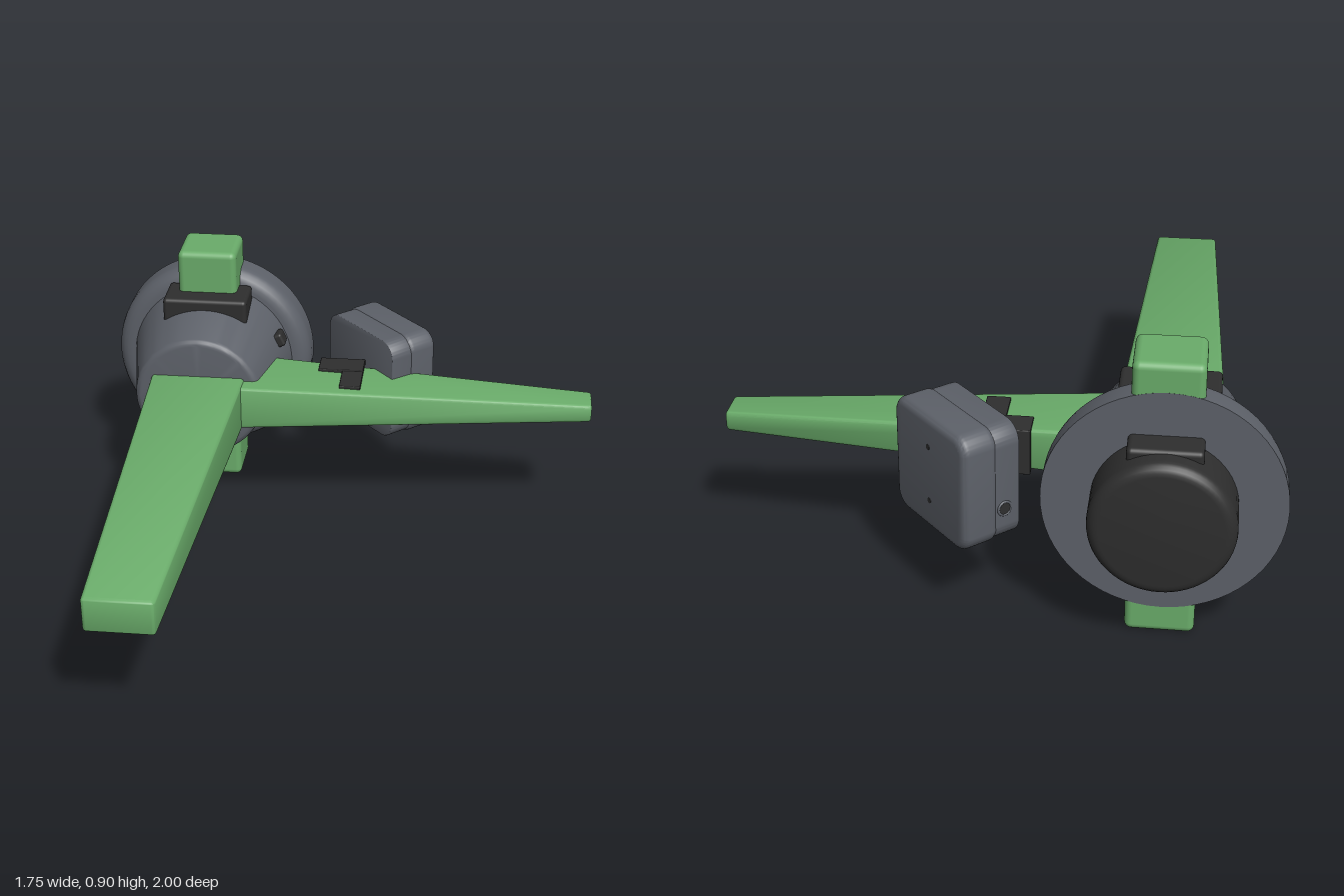
import * as THREE from 'three';
import { toCreasedNormals } from 'three/addons/utils/BufferGeometryUtils.js';
import { RoundedBoxGeometry } from 'three/addons/geometries/RoundedBoxGeometry.js';

const CX = -0.515, CY = 0.452; // hub axis, running along z

function flat(name, color) {
  const m = new THREE.MeshStandardMaterial({ color });
  m.name = name;
  return m;
}

export function createModel() {
  const root = new THREE.Group();
  root.name = 'mountedArms';
  const green = flat('green', 0x6aac6a);
  const grey = flat('slateGrey', 0x5d6169);
  const black = flat('black', 0x2e2e2e);

  function add(name, geo, mat, x = 0, y = 0, z = 0, parent = root) {
    const mesh = new THREE.Mesh(geo, mat);
    mesh.name = name;
    mesh.position.set(x, y, z);
    parent.add(mesh);
    return mesh;
  }

  // Rounded block given by its limits on each axis
  function block(name, mat, [x0, x1], [y0, y1], [z0, z1], r) {
    return add(name, new RoundedBoxGeometry(x1 - x0, y1 - y0, z1 - z0, 3, r), mat,
      (x0 + x1) / 2, (y0 + y1) / 2, (z0 + z1) / 2);
  }

  // Turned part around the hub axis; profile is [radius, z] from back to front
  function turned(name, mat, profile) {
    const geo = new THREE.LatheGeometry(profile.map(p => new THREE.Vector2(...p)), 64);
    geo.rotateX(Math.PI / 2);
    return add(name, toCreasedNormals(geo, 0.6), mat, CX, CY, 0);
  }

  // Quarter-round corner points, centred on (r, z)
  function corner(r, z, radius, from, to) {
    return Array.from({ length: 6 }, (_, i) => {
      const a = from + (to - from) * i / 5;
      return [r + radius * Math.cos(a), z + radius * Math.sin(a)];
    });
  }

  // Hub: flange, conical body and rear cap
  turned('flange', grey, [
    [0, -0.8405], [0.36, -0.8405], ...corner(0.305, -0.775, 0.055, 0, Math.PI / 2), [0, -0.72]]);
  turned('conicalBody', grey, [
    [0, -0.74], [0.297, -0.74], ...corner(0.202, -0.405, 0.026, 0.2, Math.PI / 2), [0, -0.379]]);
  turned('rearCap', black, [
    [0, -1], ...corner(0.18, -0.965, 0.035, -Math.PI / 2, 0), [0.215, -0.74], [0, -0.74]]);
  block('rearCapTab', black, [-0.625, -0.405], [0.58, 0.675], [-0.93, -0.8], 0.015);

  // Bar through the hub, with the dark pad above the body
  block('crossBar', green, [-0.62, -0.41], [0, 0.9], [-0.84, -0.635], 0.022);
  block('topPad', black, [-0.665, -0.365], [0.64, 0.75], [-0.72, -0.56], 0.014);
  for (const s of [-1, 1]) {
    const clip = add('sideClip', new RoundedBoxGeometry(0.05, 0.05, 0.06, 2, 0.01), black,
      CX + 0.25, CY + s * 0.115, -0.66);
    clip.rotation.z = s * 0.43;
  }

  // Tapered arm along +z, starting at the origin
  function arm(name, length, [w0, h0], [w1, h1]) {
    const geo = new RoundedBoxGeometry(1, 1, 1, 3, 0.08);
    const p = geo.attributes.position;
    const v = new THREE.Vector3();
    const edge = 0.012;
    // Keep the edge rounding the same size on every axis
    const fit = (c, size) => {
      const a = Math.abs(c);
      const core = 0.42;
      return Math.sign(c) * (a <= core ? a / core * (size / 2 - edge)
        : size / 2 - edge + (a - core) / 0.08 * edge);
    };
    for (let i = 0; i < p.count; i++) {
      v.fromBufferAttribute(p, i);
      const z = fit(v.z, length) + length / 2;
      const t = z / length;
      p.setXYZ(i, fit(v.x, w0 + (w1 - w0) * t), fit(v.y, h0 + (h1 - h0) * t), z);
    }
    return add(name, toCreasedNormals(geo, 0.6), green);
  }
  const frontArm = arm('frontArm', 1.455, [0.335, 0.178], [0.217, 0.116]);
  frontArm.position.set(CX, CY, -0.457);
  const sideArm = arm('sideArm', 1.385, [0.305, 0.168], [0.116, 0.064]);
  sideArm.position.set(CX, CY, -0.457);
  sideArm.rotation.y = Math.PI / 2;

  // Bracket holding the box against the side arm
  block('bracketBack', black, [-0.1, 0.06], [0.376, 0.529], [-0.6, -0.505], 0.003);
  block('bracketFront', black, [-0.015, 0.06], [0.379, 0.526], [-0.52, -0.383], 0.003);

  // Angled box in two halves; its +z looks outward
  const box = new THREE.Group();
  box.name = 'angledBox';
  box.position.set(0.1125, CY, -0.69);
  box.rotation.y = 2.301;
  root.add(box);

  function half(name, size, depth, bevel, z) {
    const w = size / 2 - bevel, r = 0.06 - bevel;
    const s = new THREE.Shape();
    s.moveTo(-w + r, -w);
    s.absarc(w - r, -w + r, r, -Math.PI / 2, 0);
    s.absarc(w - r, w - r, r, 0, Math.PI / 2);
    s.absarc(-w + r, w - r, r, Math.PI / 2, Math.PI);
    s.absarc(-w + r, -w + r, r, Math.PI, Math.PI * 1.5);
    const geo = new THREE.ExtrudeGeometry(s, {
      depth: depth - 2 * bevel, bevelSize: bevel, bevelThickness: bevel,
      bevelSegments: 5, curveSegments: 8 });
    geo.translate(0, 0, bevel);
    add(name, toCreasedNormals(geo, 0.6), grey, 0, 0, z, box);
  }
  half('innerShell', 0.378, 0.105, 0.004, -0.0985);
  half('outerShell', 0.386, 0.1235, 0.026, -0.025);

  // Screw holes on the outer face, and a socket on the back end
  for (const s of [-1, 1]) {
    const hole = add('screwHole', new THREE.CylinderGeometry(0.009, 0.009, 0.006, 16), black,
      0, s * 0.092, 0.097, box);
    hole.rotation.x = Math.PI / 2;
  }
  const socket = add('socket', new THREE.CylinderGeometry(0.019, 0.019, 0.006, 24), black,
    0.188, -0.075, -0.045, box);
  socket.rotation.z = Math.PI / 2;
  const rim = add('socketRim', new THREE.TorusGeometry(0.022, 0.004, 8, 24), grey,
    0.189, -0.075, -0.045, box);
  rim.rotation.y = Math.PI / 2;

  return root;
}
